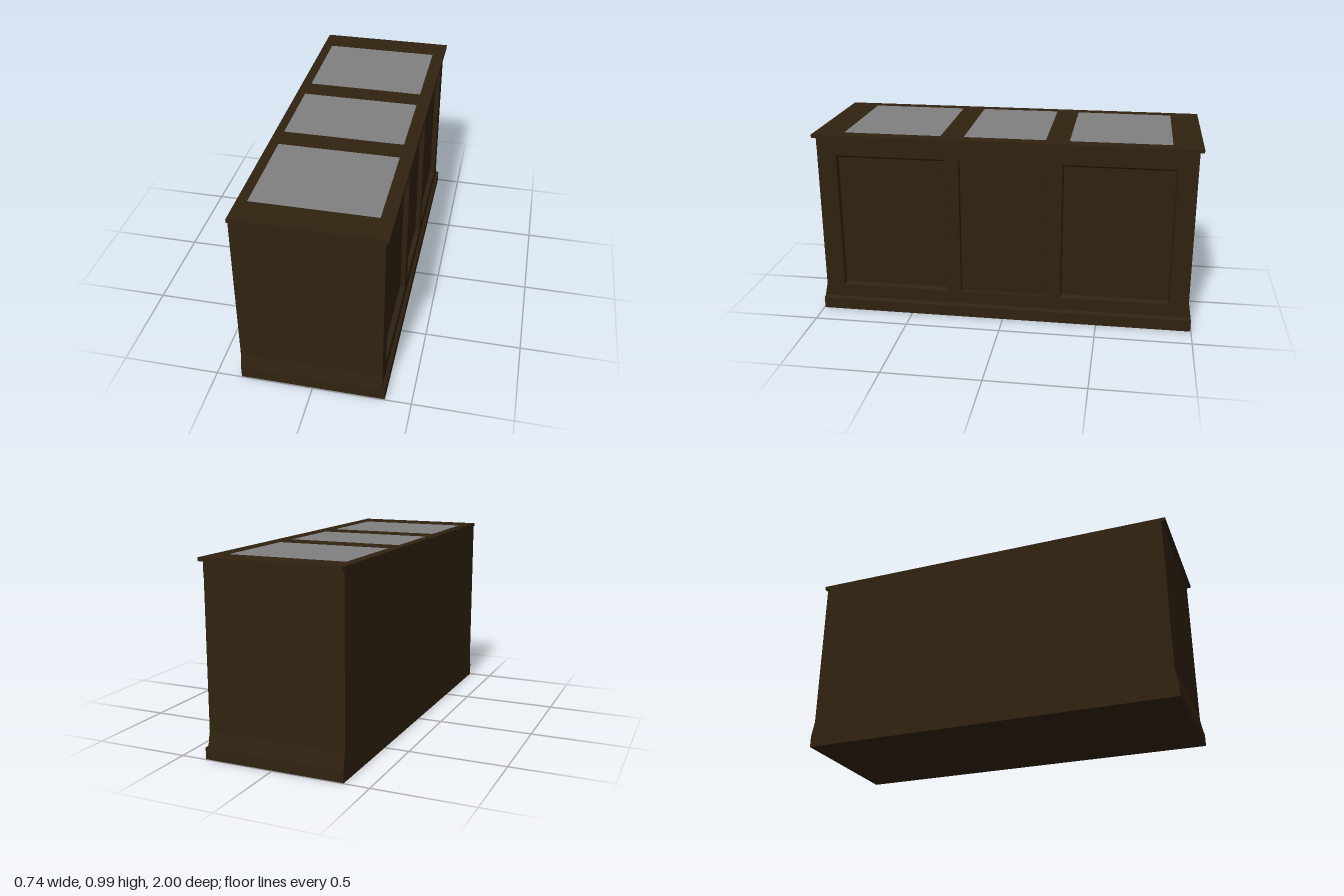
import * as THREE from 'three';

const BACK = -0.37, FACE = 0.35, PANEL = 0.325, LIP = 0.367, TOP = 0.99, SLAB = 0.972;

// Rectangle path, used both as outline and as hole
function rect(Type, a0, b0, a1, b1) {
  const p = new Type();
  p.moveTo(a0, b0);
  p.lineTo(a1, b0);
  p.lineTo(a1, b1);
  p.lineTo(a0, b1);
  p.closePath();
  return p;
}

// Flat-shaded walls joining successive four-cornered rings
function loft(rings) {
  const pos = [];
  for (let r = 0; r < rings.length - 1; r++) {
    for (let i = 0; i < 4; i++) {
      const j = (i + 1) % 4;
      const a = rings[r][i], b = rings[r][j], c = rings[r + 1][j], d = rings[r + 1][i];
      pos.push(...a, ...b, ...c, ...a, ...c, ...d);
    }
  }
  const g = new THREE.BufferGeometry();
  g.setAttribute('position', new THREE.Float32BufferAttribute(pos, 3));
  g.computeVertexNormals();
  return g;
}

export function createModel() {
  const model = new THREE.Group();
  model.name = 'counter';
  const wood = new THREE.MeshStandardMaterial({ color: 0x302210 });
  wood.name = 'dark wood';
  const grey = new THREE.MeshStandardMaterial({ color: 0x808080 });
  grey.name = 'grey inlay';

  const add = (name, geometry, material = wood) => {
    const mesh = new THREE.Mesh(geometry, material);
    mesh.name = name;
    model.add(mesh);
    return mesh;
  };
  const box = (name, x0, x1, y0, y1, z0, z1, material) =>
    add(name, new THREE.BoxGeometry(x1 - x0, y1 - y0, z1 - z0), material)
      .position.set((x0 + x1) / 2, (y0 + y1) / 2, (z0 + z1) / 2);

  // Carcass, whose +x side forms the panel fields
  box('carcass', BACK, PANEL, 0, SLAB, -0.98, 0.98);

  // Panelled face: z range and top/side/bottom bevel widths of each recess
  const panels = [
    { z0: 0.305, z1: 0.88, top: 0.014, side: 0.007, bottom: 0.012 },
    { z0: -0.23, z1: 0.23, top: 0.005, side: 0.003, bottom: 0.002 },
    { z0: -0.88, z1: -0.305, top: 0.014, side: 0.007, bottom: 0.012 },
  ];
  const y0 = 0.14, y1 = 0.878;
  const face = rect(THREE.Shape, -0.98, 0, 0.98, SLAB);
  for (const p of panels) face.holes.push(rect(THREE.Path, -p.z1, y0, -p.z0, y1));
  const faceGeometry = new THREE.ExtrudeGeometry(face, { depth: FACE - PANEL, bevelEnabled: false });
  faceGeometry.rotateY(Math.PI / 2).translate(PANEL, 0, 0);
  add('panelFrame', faceGeometry);

  // Sloping edges inside each recess
  for (const p of panels) {
    const ring = (x, k) => [
      [x, y0 + k * p.bottom, p.z1 - k * p.side],
      [x, y0 + k * p.bottom, p.z0 + k * p.side],
      [x, y1 - k * p.top, p.z0 + k * p.side],
      [x, y1 - k * p.top, p.z1 - k * p.side],
    ];
    add('panelBevel', loft([ring(FACE, 0), ring(PANEL, 1)]));
  }
  box('upperRail', FACE, 0.352, 0.92, SLAB, -0.98, 0.98);

  // Plinth with a moulding that tapers into the body
  box('plinth', BACK, LIP, 0, 0.06, -0.996, 0.996);
  const level = (y, x, z) => [[x, y, z], [x, y, -z], [BACK, y, -z], [BACK, y, z]];
  add('baseMoulding', loft([
    level(0.06, LIP, 0.996), level(0.072, 0.351, 0.994), level(0.14, 0.351, 0.98),
  ]));

  // Top slab with three shallow openings holding grey inlays
  const inlays = [[-0.32, 0.3, -0.85, -0.335], [-0.325, 0.3, -0.215, 0.21], [-0.32, 0.3, 0.33, 0.845]];
  const slab = rect(THREE.Shape, BACK, -1, LIP, 1);
  for (const [xa, xb, za, zb] of inlays) slab.holes.push(rect(THREE.Path, xa, -zb, xb, -za));
  const slabGeometry = new THREE.ExtrudeGeometry(slab, { depth: TOP - SLAB, bevelEnabled: false });
  slabGeometry.rotateX(-Math.PI / 2).translate(0, SLAB, 0);
  add('topSlab', slabGeometry);
  for (const [xa, xb, za, zb] of inlays) box('topInlay', xa, xb, 0.979, 0.988, za, zb, grey);

  return model;
}
